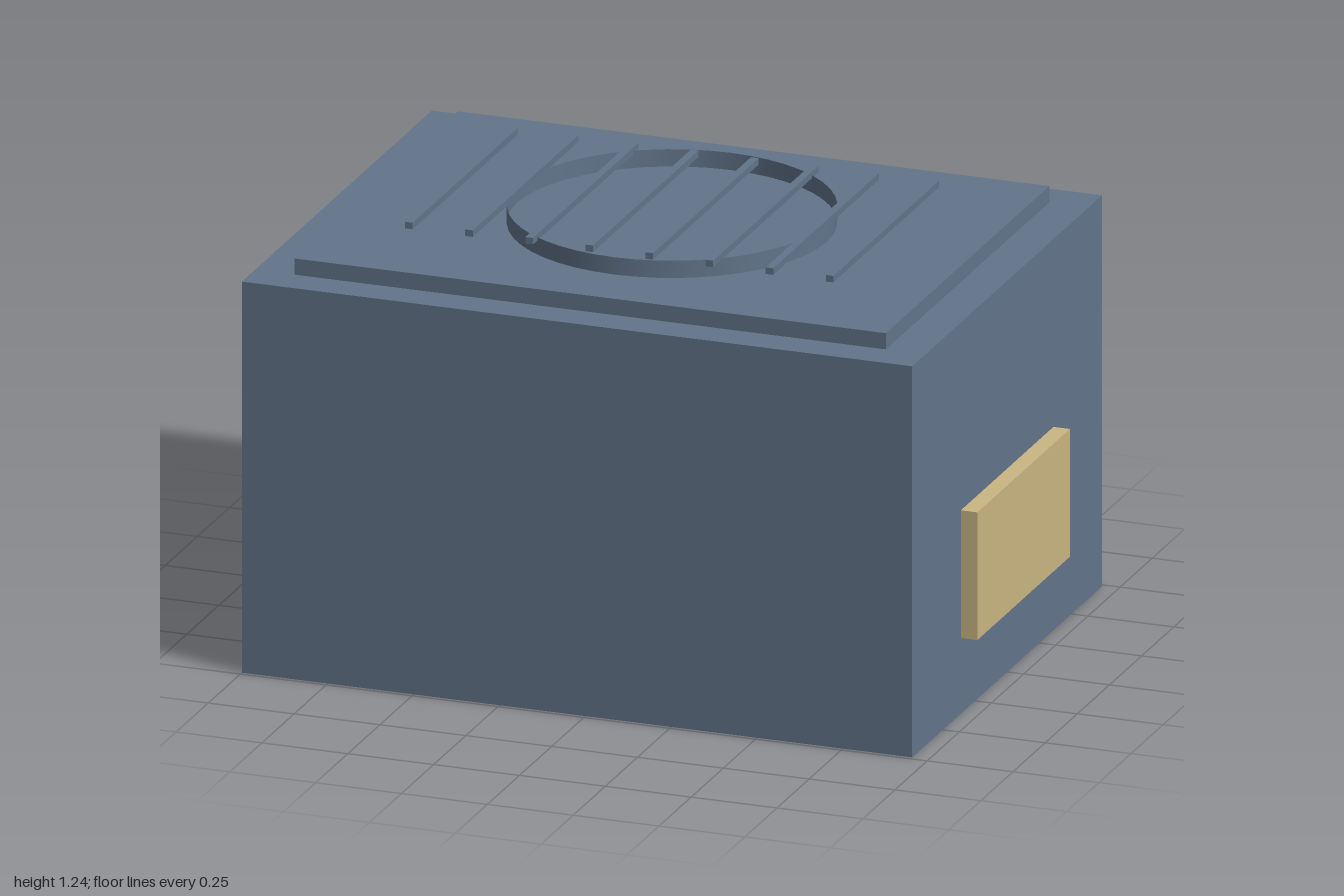
import * as THREE from 'three';

export function createModel() {
  const group = new THREE.Group();
  const slate = new THREE.MeshStandardMaterial({ color: 0x62748a });
  slate.name = 'slate blue';
  const slateOpen = slate; // one material serves the solid parts and the open ring
  slateOpen.side = THREE.DoubleSide;
  const tan = new THREE.MeshStandardMaterial({ color: 0xcbb683 });
  tan.name = 'tan';

  const cx = -0.024; // centre of the housing

  const add = (name, geometry, material, x, y, z) => {
    const mesh = new THREE.Mesh(geometry, material);
    mesh.name = name;
    mesh.position.set(x, y, z);
    group.add(mesh);
    return mesh;
  };
  // Box standing on height y0
  const box = (name, w, h, d, material, x, y0) =>
    add(name, new THREE.BoxGeometry(w, h, d), material, x, y0 + h / 2, 0);

  // Housing and raised lid
  box('housing', 1.952, 1.133, 1.476, slate, cx, 0);
  box('topPlate', 1.722, 0.047, 1.27, slate, cx, 1.133);

  // Thin open fan collar
  add('fanRing', new THREE.CylinderGeometry(0.451, 0.451, 0.05, 48, 1, true), slateOpen, cx, 1.205, 0);

  // Grille bars running front to back
  const grille = new THREE.Group();
  grille.name = 'grille';
  const barGeometry = new THREE.BoxGeometry(0.022, 0.019, 0.82);
  for (let i = 0; i < 8; i++) {
    const bar = new THREE.Mesh(barGeometry, slate);
    bar.name = 'grilleBar';
    bar.position.set(cx + (i - 3.5) * 0.175, 1.231, 0);
    grille.add(bar);
  }
  group.add(grille);

  // Service panel on the left side
  box('servicePanel', 0.048, 0.37, 0.72, tan, 0.976, 0.219);

  return group;
}
